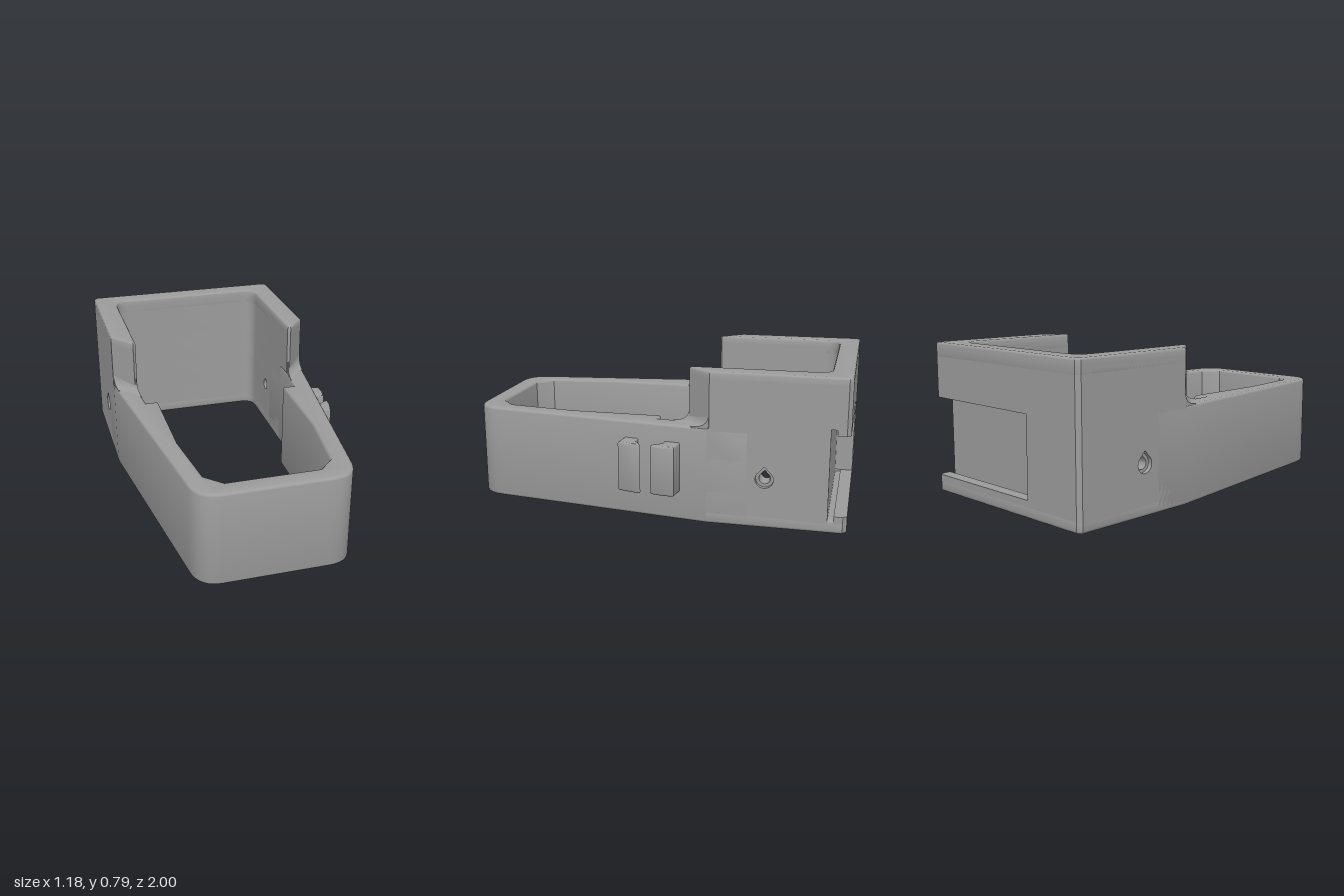
import * as THREE from 'three';
import { toCreasedNormals } from 'three/addons/utils/BufferGeometryUtils.js';

const CX = -0.0375; // symmetry plane of the frame
const side = (pts, s) => pts.map(([h, z]) => [CX + s * h, z]);

// Points of a rounded corner from a to b around control c
function corner(a, c, b) {
  const v = p => new THREE.Vector2(...p);
  return new THREE.QuadraticBezierCurve(v(a), v(c), v(b)).getPoints(8).map(p => [p.x, p.y]);
}

// Vertical extrusion of a plan outline [x, z] between two heights
function slab(pts, y0, y1, bevel = 0) {
  const shape = new THREE.Shape(pts.map(([x, z]) => new THREE.Vector2(x, -z)));
  const geo = new THREE.ExtrudeGeometry(shape, {
    depth: y1 - y0 - 2 * bevel, bevelEnabled: bevel > 0, bevelThickness: bevel,
    bevelSize: bevel, bevelOffset: -bevel, bevelSegments: 3,
  });
  geo.rotateX(-Math.PI / 2).translate(0, y0 + bevel, 0);
  return toCreasedNormals(geo, 0.6);
}

// Teardrop outline, point upwards
function teardrop(u, v, r) {
  const p = new THREE.Path();
  p.absarc(u, v, r, Math.PI * 0.8, Math.PI * 2.2, false);
  p.lineTo(u, v + r * 1.45);
  p.closePath();
  return p;
}

export function createModel() {
  const group = new THREE.Group();
  const grey = new THREE.MeshStandardMaterial({ color: 0x9c9c9c });
  grey.name = 'grey plastic';
  const add = (name, geo) => {
    const mesh = new THREE.Mesh(geo, grey);
    mesh.name = name;
    group.add(mesh);
  };

  // Low tapered front loop
  const frontHalf = [
    [0.5575, -0.5], [0.5575, -0.3],
    ...corner([0.405, 0.87], [0.388, 1], [0.27, 1]),
  ];
  const innerHalf = [
    [0.235, 0.9], [0.315, 0.82], [0.36, 0.46], [0.36, -0.02],
    [0.425, -0.02], [0.44, -0.2], [0.44, -0.5],
  ];
  add('frontLoop', slab([
    ...side(frontHalf, 1), ...side([...frontHalf].reverse(), -1),
    ...side([...innerHalf].reverse(), -1), ...side(innerHalf, 1),
  ], 0, 0.5, 0.015));

  // Tall back frame, stacked in layers around a slide-in slot open to the left
  const plainBack = [[0.52, -0.98], [0.5, -1], [-0.575, -1], [-0.595, -0.98]];
  const grooveBack = [[0.52, -0.905], [-0.26, -0.905], [-0.26, -0.935], [0.52, -0.935], ...plainBack];
  const pocketBack = [[0.52, -0.905], [-0.23, -0.905], [-0.23, -1], ...plainBack.slice(2)];
  const straightEnd = [[0.44, -0.3], [0.5575, -0.3]];
  const shortEnd = [[0.44, -0.68], [0.5575, -0.68]];
  const slantEnd = [[0.44, -0.2], [0.455, -0.19], [0.5575, -0.31]];
  const innerCorner = corner([0.36, -0.89], [0.44, -0.89], [0.44, -0.81]);
  const layers = [
    ['backBase', plainBack, straightEnd, 0, 0.07, 0.015],
    ['slotLowerLip', grooveBack, straightEnd, 0.05, 0.09, 0],
    ['slotLower', pocketBack, straightEnd, 0.09, 0.17, 0],
    ['slotMiddle', pocketBack, shortEnd, 0.17, 0.34, 0],
    ['slotUpper', pocketBack, straightEnd, 0.34, 0.5, 0],
    ['slotUpperLip', grooveBack, slantEnd, 0.5, 0.53, 0],
    ['backUpper', plainBack, slantEnd, 0.53, 0.75, 0],
    ['backRim', plainBack, slantEnd, 0.7, 0.785, 0.012],
  ];
  for (const [name, back, end, y0, y1, bevel] of layers) {
    const half = [...innerCorner, ...end];
    add(name, slab([
      ...side(half, 1), ...back, ...side([...half].reverse(), -1),
    ], y0, y1, bevel));
  }

  // Side wall panels with a countersunk teardrop hole
  const panel = (x0, x1, r) => {
    const s = new THREE.Shape();
    s.moveTo(0.5, 0.17).lineTo(0.68, 0.17).lineTo(0.68, 0.34).lineTo(0.5, 0.34).closePath();
    s.holes.push(teardrop(0.59, 0.255, r));
    const geo = new THREE.ExtrudeGeometry(s, { depth: x1 - x0, bevelEnabled: false, curveSegments: 20 });
    geo.rotateY(Math.PI / 2).translate(x0, 0, 0);
    return toCreasedNormals(geo, 0.6);
  };
  for (const [name, s] of [['left', 1], ['right', -1]]) {
    const span = (a, b) => [CX + s * a, CX + s * b].sort((p, q) => p - q);
    add(name + 'HolePanel', panel(...span(0.44, 0.535), 0.029));
    add(name + 'HoleRecess', panel(...span(0.535, 0.5575), 0.045));

    // Concave fillet where the tall wall drops to the low loop
    const f = new THREE.Shape();
    f.moveTo(-0.02, 0.48).lineTo(0.09, 0.48).lineTo(0.09, 0.5);
    f.quadraticCurveTo(0.005, 0.5, 0, 0.57);
    f.lineTo(-0.02, 0.57).closePath();
    const geo = new THREE.ExtrudeGeometry(f, { depth: 1, bevelEnabled: false, curveSegments: 8 });
    const pos = geo.attributes.position;
    for (let i = 0; i < pos.count; i++) {
      const d = pos.getX(i);
      const t = s > 0 ? pos.getZ(i) : 1 - pos.getZ(i);
      const h = THREE.MathUtils.lerp(0.5565, 0.445, t) - 0.13 * Math.max(d, 0);
      pos.setXYZ(i, CX + s * h, pos.getY(i), THREE.MathUtils.lerp(-0.31, -0.19, t) + d);
    }
    geo.computeVertexNormals();
    add(name + 'Fillet', toCreasedNormals(geo, 0.6));
  }

  // Pair of hooked cable clips on the left wall
  add('rearClip', slab([
    [0.45, -0.16], [0.5, -0.16], [0.587, -0.148], [0.587, -0.09], [0.572, -0.024],
    [0.55, -0.034], [0.524, -0.072], [0.5, -0.076], [0.45, -0.07],
  ], 0.15, 0.41, 0.01));
  add('frontClip', slab([
    [0.44, 0.063], [0.51, 0.065], [0.54, 0.042], [0.572, 0.028],
    [0.566, 0.085], [0.547, 0.15], [0.44, 0.138],
  ], 0.15, 0.41, 0.01));

  return group;
}
